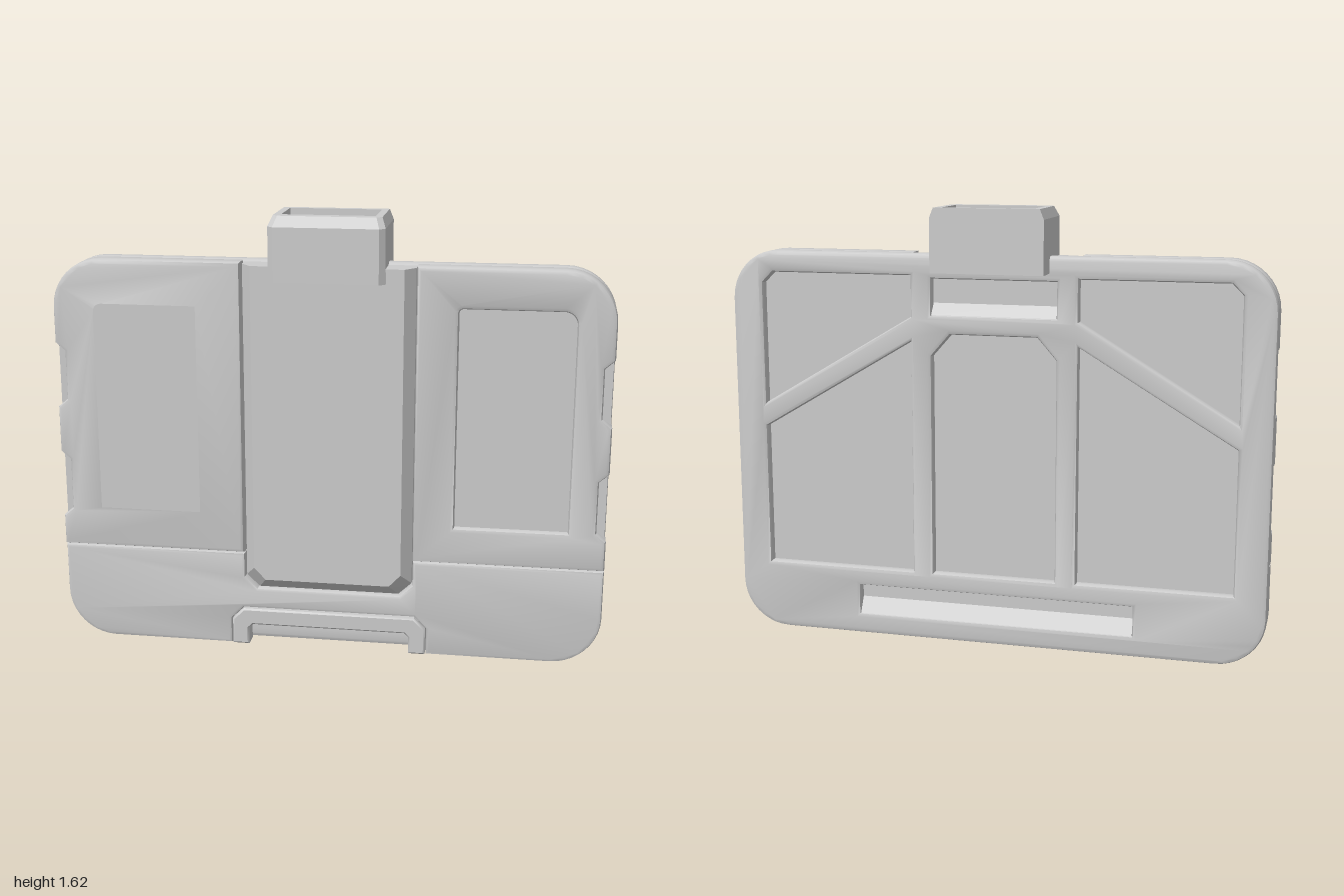
import * as THREE from 'three';
import { toCreasedNormals } from 'three/addons/utils/BufferGeometryUtils.js';

const material = new THREE.MeshStandardMaterial({ color: 0xcccccc });

// Closed outline from [x, y, cornerRadius] points.
function trace(points, path) {
  const n = points.length;
  points.forEach((p, i) => {
    const [prev, next] = [points[(i + n - 1) % n], points[(i + 1) % n]];
    const r = p[2] || 0;
    const c = new THREE.Vector2(p[0], p[1]);
    const toward = (q, d) => new THREE.Vector2(q[0], q[1]).sub(c).setLength(d).add(c);
    const a = toward(prev, r);
    if (i === 0) path.moveTo(a.x, a.y); else path.lineTo(a.x, a.y);
    if (r) {
      const b = toward(next, r), c1 = toward(prev, r * 0.45), c2 = toward(next, r * 0.45);
      path.bezierCurveTo(c1.x, c1.y, c2.x, c2.y, b.x, b.y);
    }
  });
  path.closePath();
  return path;
}

function makeShape(points, holes = []) {
  const shape = trace(points, new THREE.Shape());
  shape.holes = holes.map((h) => trace(h, new THREE.Path()));
  return shape;
}

// Plate between two depths, with bevelled edges that stay inside the outline.
function plate(shape, z0, z1, bevel = 0, bevelSegments = 2) {
  const g = new THREE.ExtrudeGeometry(shape, {
    depth: z1 - z0 - 2 * bevel, curveSegments: 10, bevelEnabled: bevel > 0,
    bevelSize: bevel, bevelThickness: bevel, bevelOffset: -bevel, bevelSegments,
  });
  return g.translate(0, 0, z0 + bevel);
}

const rect = (x0, y0, x1, y1, r = 0) => [[x0, y0, r], [x1, y0, r], [x1, y1, r], [x0, y1, r]];
const mirror = (points, s) => points.map(([x, y, r]) => [x * s, y, r]);

export function createModel() {
  const group = new THREE.Group();
  const add = (name, geometry, crease = 0.6) => {
    const mesh = new THREE.Mesh(toCreasedNormals(geometry, crease), material);
    mesh.name = name;
    group.add(mesh);
    return mesh;
  };

  // Back shell: frame with ribs between the recesses
  const recesses = [
    [[-0.23, 0.26], [0.23, 0.26], [0.23, 1.08], [0.16, 1.16], [-0.16, 1.16], [-0.23, 1.08]],
    rect(-0.23, 1.23, 0.23, 1.36),
    rect(-0.52, 0.08, 0.52, 0.19),
  ];
  for (const s of [1, -1]) {
    recesses.push(mirror([[0.31, 1.22], [0.88, 0.88], [0.88, 1.33], [0.84, 1.37], [0.31, 1.37]], s));
    recesses.push(mirror([[0.31, 0.26], [0.88, 0.26], [0.88, 0.79], [0.31, 1.13]], s));
  }
  add('backShell', plate(makeShape(rect(-1, 0, 1, 1.45, 0.18), recesses), -0.043, 0.015, 0.015));
  add('recessFloor', plate(makeShape(rect(-0.95, 0.05, 0.95, 1.4, 0.15)), -0.008, 0.012));

  // Sloped lower faces of the two horizontal back slots
  const slope = (name, width, y, h) => {
    const wedge = plate(makeShape([[0.04, y], [0, y], [0, y + h]]), -width / 2, width / 2);
    wedge.rotateY(Math.PI / 2).translate(0, 0, -0.001);
    add(name, wedge);
  };
  slope('lowerSlotSlope', 1.04, 0.08, 0.07);
  slope('upperSlotSlope', 0.46, 1.23, 0.05);

  // Upper front panels with a pocket and two grip notches each
  const notches = [[0.48, 0.73], [0.9, 1.14]];
  for (const s of [1, -1]) {
    const side = s > 0 ? 'left' : 'right';
    const outline = [[0.312, 0.368], [1, 0.368]];
    for (const [a, b] of notches) {
      outline.push([1, a], [0.965, a + 0.03], [0.965, b - 0.03], [1, b]);
      const grip = new THREE.BoxGeometry(0.07, b - a + 0.02, 0.035);
      add(side + 'GripStep', grip.translate(s * 0.96, (a + b) / 2, 0.038));
    }
    outline.push([1, 1.45, 0.18], [0.312, 1.45]);
    const pocket = [[0.46, 0.505], [0.865, 0.505], [0.865, 1.305, 0.045], [0.46, 1.305, 0.015]];
    add(side + 'FrontPanel',
      plate(makeShape(mirror(outline, s), [mirror(pocket, s)]), 0.013, 0.092, 0.015));
    add(side + 'PocketFloor', plate(makeShape(mirror(rect(0.42, 0.46, 0.9, 1.35), s)), 0.04, 0.066));
  }

  // Lower front panel, notched for the centre strip and the bottom latch
  const half = [
    [0.365, 0], [1, 0, 0.18], [1, 0.363], [0.312, 0.363], [0.312, 0.27], [0.265, 0.226],
  ];
  const latchSide = [[0.365, 0.1], [0.32, 0.145]];
  const lower = [
    ...half,
    ...mirror(half, -1).reverse(),
    ...mirror(latchSide, -1), ...latchSide.slice().reverse(),
  ];
  add('lowerFrontPanel', plate(makeShape(lower), 0.013, 0.08, 0.012));

  // Bottom latch frame
  const latchHalf = [[0.3, 0.001], [0.362, 0.001], [0.362, 0.1], [0.32, 0.142]];
  const latchInner = [[0.285, 0.08], [0.3, 0.065]];
  add('latchFrame', plate(makeShape([
    ...latchHalf, ...mirror(latchHalf, -1).reverse(),
    ...mirror(latchInner, -1).reverse(), ...latchInner,
  ]), 0.013, 0.084, 0.006, 1));

  // Raised centre strip, tapered toward the front on its sides and bottom
  const strip = new THREE.ExtrudeGeometry(makeShape([
    [-0.26, 0.23], [0.26, 0.23], [0.308, 0.275], [0.308, 1.442], [-0.308, 1.442], [-0.308, 0.275],
  ]), { depth: 0.097, steps: 2, bevelEnabled: false });
  const pos = strip.attributes.position;
  for (let i = 0; i < pos.count; i++) {
    if (pos.getZ(i) < 0.09) continue;
    pos.setX(i, pos.getX(i) * 0.88);
    if (pos.getY(i) < 1) pos.setY(i, pos.getY(i) + 0.045);
  }
  strip.translate(0, 0, 0.014);
  strip.computeVertexNormals();
  add('centreStrip', strip, 0.2);

  // Top block: body plus a chamfered rim around a shallow recess
  const plan = [
    [-0.205, 0.138], [0.205, 0.138], [0.205, -0.118], [0.185, -0.138], [-0.185, -0.138], [-0.205, -0.118],
  ];
  const upright = (g) => g.rotateX(-Math.PI / 2);
  add('topBlock', upright(plate(makeShape(plan), 1.39, 1.582)), 0.2);
  const rim = upright(plate(makeShape(plan, [rect(-0.165, -0.065, 0.165, 0.112)]), 1.582, 1.618));
  const rp = rim.attributes.position;
  for (let i = 0; i < rp.count; i++) {
    if (rp.getY(i) < 1.6) continue;
    if (rp.getZ(i) > 0.1) rp.setZ(i, rp.getZ(i) - 0.03);
    if (Math.abs(rp.getX(i)) > 0.17) rp.setX(i, rp.getX(i) * 0.93);
  }
  rim.computeVertexNormals();
  add('topBlockRim', rim, 0.2);

  return group;
}
